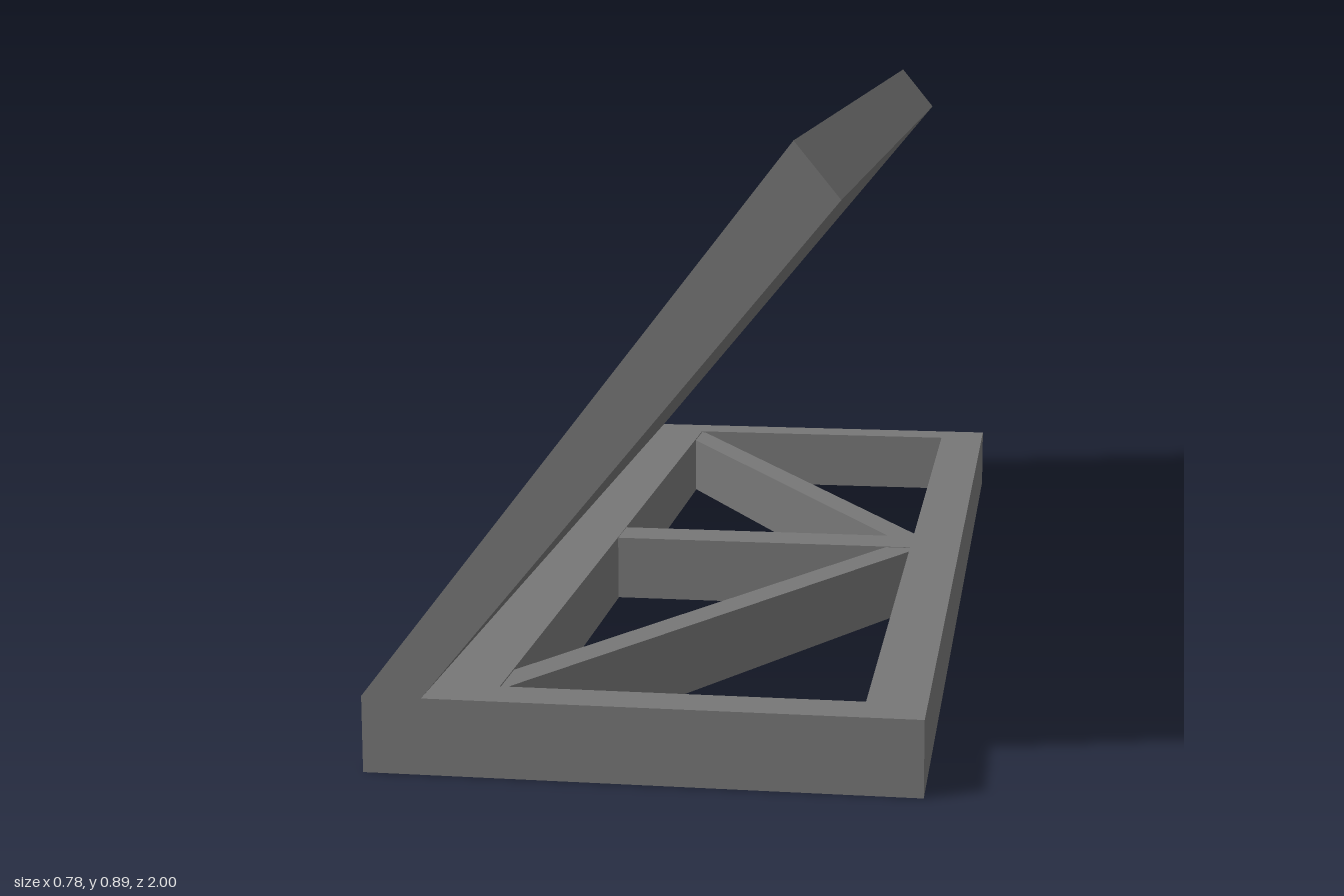
import * as THREE from 'three';

const mat = (color) => new THREE.MeshStandardMaterial({ color, flatShading: true, side: THREE.DoubleSide });
const V = (x, y, z = 0) => new THREE.Vector3(x, y, z);

// key corners of the side profile
const HINGE = [-0.39, 0.11], TOP = [0.21, 0.885], TIP = [0.273, 0.808], CREASE = [-0.305, 0.11];
const RIGHT = 0.39, HEIGHT = 0.11;
const IN_L = -0.21, IN_R = 0.305, IN_Z = 0.93;

function rect(x0, x1, y0, y1, Type = THREE.Shape) {
  return new Type([[x0, y0], [x1, y0], [x1, y1], [x0, y1]].map((p) => new THREE.Vector2(...p)));
}

export function createModel() {
  const model = new THREE.Group();
  const dark = mat(0x777777), rim = mat(0xcccccc), blue = mat(0x8596ff);

  const add = (parent, name, geometry, material) => {
    const m = new THREE.Mesh(geometry, material);
    m.name = name;
    parent.add(m);
    return m;
  };

  // flat sheet running along z between two points of the side profile
  const sheet = (name, a, b, halfZ = 1) => {
    const dx = b[0] - a[0], dy = b[1] - a[1];
    const g = new THREE.PlaneGeometry(Math.hypot(dx, dy), halfZ * 2);
    g.rotateX(-Math.PI / 2).rotateZ(Math.atan2(dy, dx));
    g.translate((a[0] + b[0]) / 2, (a[1] + b[1]) / 2, 0);
    return add(model, name, g, dark);
  };

  // hollow base: outer and inner walls, open underneath
  sheet('baseHingeWall', [HINGE[0], 0], HINGE);
  sheet('baseFreeWall', [RIGHT, HEIGHT], [RIGHT, 0]);
  sheet('baseInnerWallHinge', [IN_L, 0], [IN_L, HEIGHT], IN_Z);
  sheet('baseInnerWallFree', [IN_R, 0], [IN_R, HEIGHT], IN_Z);
  const deck = rect(CREASE[0], RIGHT, -1, 1);
  deck.holes.push(rect(IN_L, IN_R, -IN_Z, IN_Z, THREE.Path));
  add(model, 'baseTop', new THREE.ShapeGeometry(deck).rotateX(-Math.PI / 2).translate(0, HEIGHT, 0), dark);

  // underside and upper edge of the tilted panel
  sheet('panelUnderside', CREASE, TIP);
  sheet('panelUpperEdge', TIP, TOP);

  // both ends share one profile of base and panel
  const profile = new THREE.Shape(
    [[HINGE[0], 0], [RIGHT, 0], [RIGHT, HEIGHT], CREASE, TIP, TOP, HINGE].map((p) => new THREE.Vector2(...p)));
  for (const side of [1, -1]) {
    const end = add(model, side > 0 ? 'frontEnd' : 'backEnd', new THREE.ShapeGeometry(profile), dark);
    end.position.z = side;
    const wall = add(model, 'baseInnerEndWall', new THREE.PlaneGeometry(IN_R - IN_L, HEIGHT), dark);
    wall.position.set((IN_L + IN_R) / 2, HEIGHT / 2, side * IN_Z);

    // diagonal brace from the middle of the free bar to the hinge corner
    const a = V(0.3, 0, side * 0.025), b = V(-0.24, 0, side * 0.943);
    const brace = add(model, 'diagonalBrace', new THREE.BoxGeometry(a.distanceTo(b), HEIGHT - 0.004, 0.05), dark);
    brace.position.addVectors(a, b).multiplyScalar(0.5).setY(HEIGHT / 2);
    brace.rotation.y = -Math.atan2(b.z - a.z, b.x - a.x);
  }

  // crossbar
  add(model, 'crossbar', new THREE.BoxGeometry(IN_R - IN_L, HEIGHT - 0.002, 0.08), dark)
    .position.set((IN_L + IN_R) / 2, HEIGHT / 2, 0);

  // sloping face: local x runs up the slope, local z points outwards
  const face = new THREE.Group();
  face.name = 'panelFace';
  const u = V(TOP[0] - HINGE[0], TOP[1] - HINGE[1]);
  const length = u.length();
  u.normalize();
  face.quaternion.setFromRotationMatrix(new THREE.Matrix4().makeBasis(u, V(0, 0, -1), V(-u.y, u.x)));
  face.position.set(...HINGE, 0);
  model.add(face);

  const skin = rect(0, length, -1, 1);
  const depth = 0.012;
  for (const s of [1, -1]) {
    const span = (p, q) => (s > 0 ? [p, q] : [-q, -p]);
    const outer = [0.008, 0.969, ...span(0.031, 0.953)];
    const inner = [0.044, 0.942, ...span(0.06, 0.902)];
    skin.holes.push(rect(...outer, THREE.Path));

    // light rim around each recessed cell
    const ring = rect(...outer);
    ring.holes.push(rect(...inner, THREE.Path));
    add(face, 'cellRim', new THREE.ExtrudeGeometry(ring, { depth, bevelEnabled: false }).translate(0, 0, -depth), rim);
    add(face, 'solarCell', new THREE.ShapeGeometry(rect(...inner)).translate(0, 0, -depth), blue);
  }
  add(face, 'panelSkin', new THREE.ShapeGeometry(skin), dark);

  return model;
}
